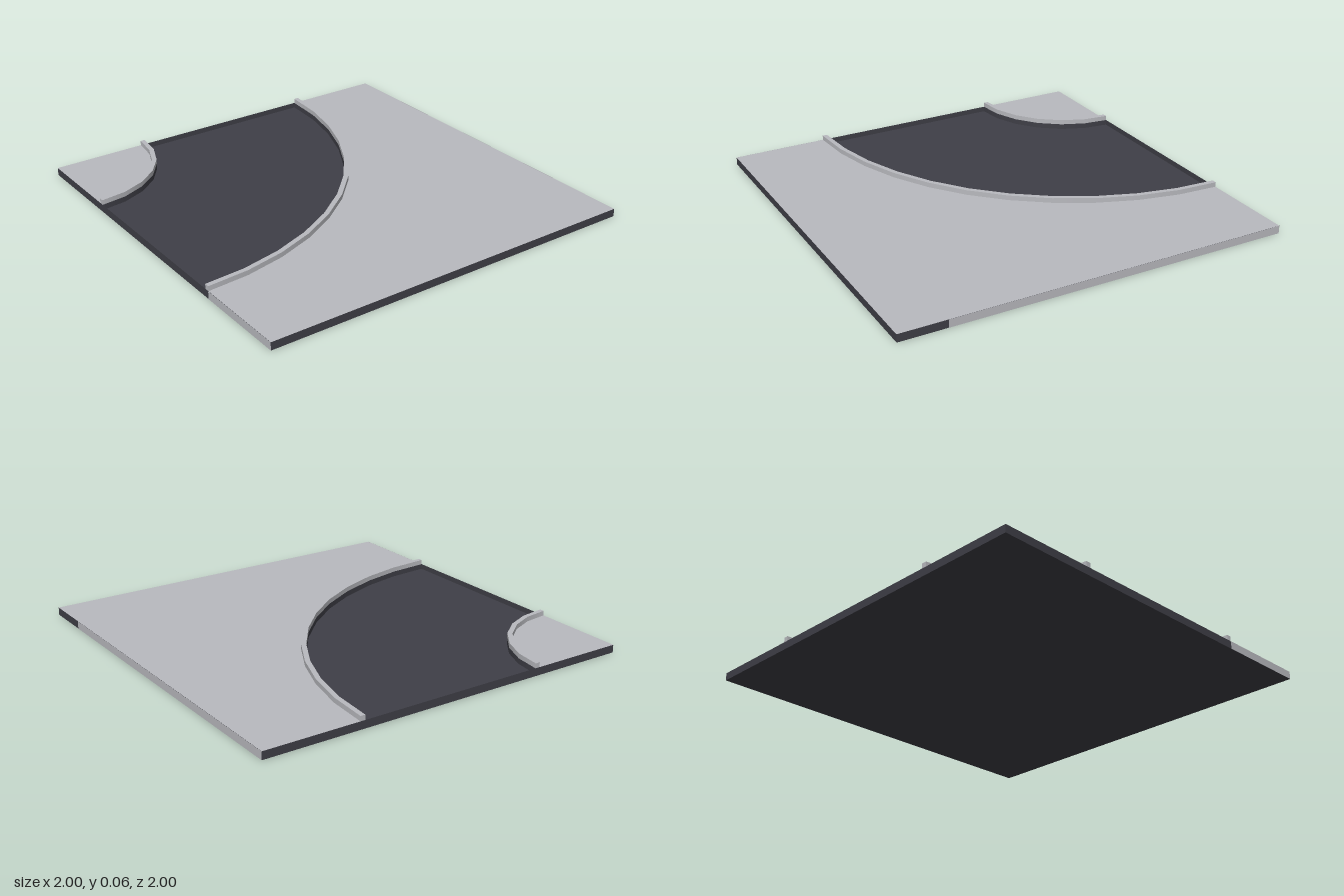
import * as THREE from 'three';

const FLOOR = 0.012, DECK = 0.04, CURB = 0.065;
const Q = Math.PI / 2;

export function createModel() {
  const tile = new THREE.Group();
  tile.name = 'curvedRoadTile';
  const asphalt = new THREE.MeshStandardMaterial({ color: 0x3f3f47, side: THREE.DoubleSide });
  asphalt.name = 'asphalt';
  const paving = new THREE.MeshStandardMaterial({ color: 0xb9babf, side: THREE.DoubleSide });
  paving.name = 'paving';

  const add = (name, geometry, material, x = 0, y = 0, z = 0) => {
    const mesh = new THREE.Mesh(geometry, material);
    mesh.name = name;
    mesh.position.set(x, y, z);
    tile.add(mesh);
    return mesh;
  };

  // Upright strip between two ground points
  const wall = (name, material, x0, z0, x1, z1, y0, y1) => {
    const geometry = new THREE.PlaneGeometry(Math.hypot(x1 - x0, z1 - z0), y1 - y0);
    const mesh = add(name, geometry, material, (x0 + x1) / 2, (y0 + y1) / 2, (z0 + z1) / 2);
    mesh.rotation.y = Math.atan2(x1 - x0, z1 - z0) - Q;
  };

  // Quarter-circle upright band about the back corner
  const band = (name, material, r, segments, y0, y1) =>
    add(name, new THREE.CylinderGeometry(r, r, y1 - y0, segments, 1, true, 0, Q), material, -1, (y0 + y1) / 2, -1);

  // Road bed and tile rim
  add('roadBed', new THREE.BoxGeometry(2, FLOOR, 2), asphalt, 0, FLOOR / 2, 0);
  wall('frontRim', asphalt, -1, 1, 1, 1, FLOOR, DECK);
  wall('backRim', asphalt, -1, -1, 1, -1, FLOOR, DECK);
  wall('leftRim', asphalt, 1, -1, 1, 1, FLOOR, DECK);
  wall('rightRim', asphalt, -1, -1, -1, 1, FLOOR, DECK);

  // Pale facings on two sides
  wall('leftFacing', paving, 1.001, -1, 1.001, 0.76, 0, DECK);
  wall('rightFacing', paving, -1.001, 0.51, -1.001, 1, 0, DECK);

  // Points of a quarter arc, in shape space (y = -z)
  const arc = (r, n) => Array.from({ length: n + 1 }, (_, i) =>
    new THREE.Vector2(-1 + r * Math.sin(i / n * Q), 1 - r * Math.cos(i / n * Q)));
  const pavement = (name, points) => {
    const geometry = new THREE.ShapeGeometry(new THREE.Shape(points));
    geometry.rotateX(-Q);
    add(name, geometry, paving, 0, DECK, 0);
  };
  pavement('innerPavement', [new THREE.Vector2(-1, 1), ...arc(0.5, 6)]);
  pavement('outerPavement', [...arc(1.495, 11),
    new THREE.Vector2(1, 1), new THREE.Vector2(1, -1), new THREE.Vector2(-1, -1)]);

  // Raised curbs on both sides of the road
  for (const [name, r0, r1, segments, roadEdge] of [
    ['innerCurb', 0.485, 0.51, 6, 0.51],
    ['outerCurb', 1.485, 1.51, 11, 1.485],
  ]) {
    const top = new THREE.RingGeometry(r0, r1, segments, 1, -Q, Q);
    top.rotateX(-Q);
    add(name + 'Top', top, paving, -1, CURB, -1);
    band(name + 'InnerFace', paving, r0, segments, DECK, CURB);
    band(name + 'OuterFace', paving, r1, segments, DECK, CURB);
    band(name + 'RoadWall', asphalt, roadEdge, segments, FLOOR, DECK);
    wall(name + 'BackEnd', paving, -1 + r0, -1, -1 + r1, -1, DECK, CURB);
    wall(name + 'SideEnd', paving, -1, -1 + r0, -1, -1 + r1, DECK, CURB);
  }
  return tile;
}
